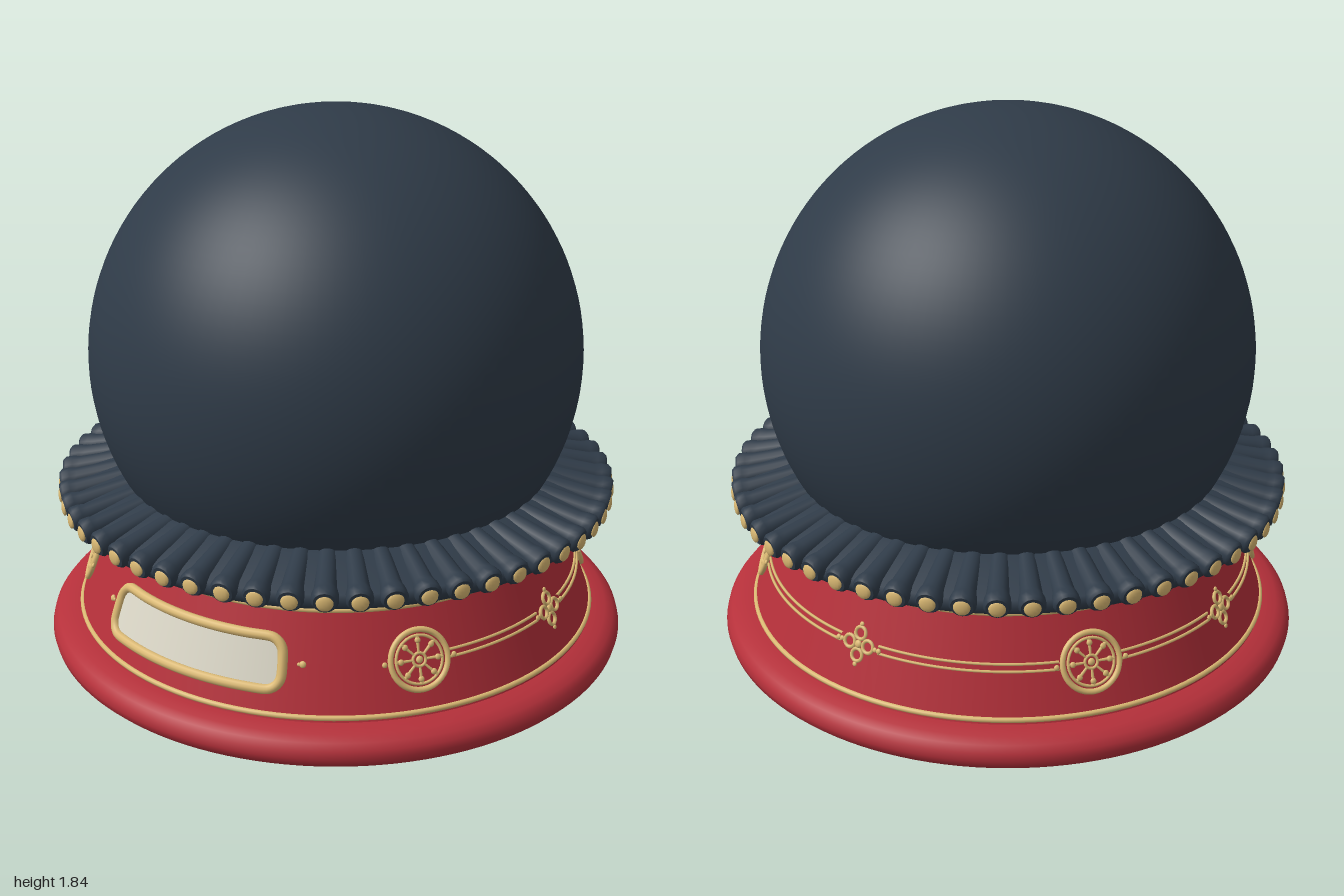
import * as THREE from 'three';

const mat = (name, color) => {
  const m = new THREE.MeshStandardMaterial({ color });
  m.name = name;
  return m;
};
const SLOPE = 0.365;                                   // lean of the base wall
const TILT = -Math.atan(SLOPE);
const MID_Y = 0.278;                                   // height of the ornament band
const wallR = (y) => 0.895 - (y - 0.12) * SLOPE;       // wall radius at a height
const rad = THREE.MathUtils.degToRad;

// point on the base wall: u along the arc, y up, d out from the wall
function onWall(u, y, d = 0) {
  const a = u / wallR(MID_Y), r = wallR(y) + d;
  return new THREE.Vector3(Math.sin(a) * r, y, Math.cos(a) * r);
}

export function createModel() {
  const dark = mat('midnight blue', 0x2f3b48);
  const red = mat('crimson', 0xb5303a);
  const gold = mat('gold', 0xdcba74);
  const cream = mat('cream', 0xdcd8c8);

  const model = new THREE.Group();
  model.name = 'snowGlobe';
  const add = (parent, name, geo, material, x = 0, y = 0, z = 0) => {
    const m = new THREE.Mesh(geo, material);
    m.name = name;
    m.position.set(x, y, z);
    parent.add(m);
    return m;
  };
  const group = (name, parent = model) => {
    const g = new THREE.Group();
    g.name = name;
    parent.add(g);
    return g;
  };
  const lathe = (pts, seg) => new THREE.LatheGeometry(pts.map((p) => new THREE.Vector2(...p)), seg);

  // glass ball
  add(model, 'globe', new THREE.SphereGeometry(0.83, 96, 64), dark, 0, 1.007, 0);

  // base: rounded foot, leaning wall, flared neck
  add(model, 'foot', lathe([[0, 0], [0.94, 0], [0.95, 0], [0.978, 0.006], [0.994, 0.022], [1, 0.045],
    [0.994, 0.068], [0.978, 0.088], [0.95, 0.102], [0.91, 0.11], [0.88, 0.112]], 128), red);
  add(model, 'wall', lathe([[wallR(0.105), 0.105], [wallR(0.28), 0.28], [wallR(0.437), 0.437]], 128), red);
  add(model, 'neck', lathe([[0.778, 0.437], [0.778, 0.452], [0.79, 0.468], [0.82, 0.482], [0.86, 0.492]], 128), red);

  // gold trim rings
  for (const y of [0.124, 0.437]) {
    const ring = add(model, 'trimRing', new THREE.TorusGeometry(wallR(y), 0.009, 8, 128), gold, 0, y, 0);
    ring.rotation.x = Math.PI / 2;
  }

  // pleated collar with a gold stud on each pleat
  const collar = group('collar');
  add(collar, 'collarBody', lathe([[0.72, 0.49], [0.85, 0.492], [0.915, 0.515], [0.925, 0.54],
    [0.915, 0.562], [0.75, 0.615], [0.70, 0.625]], 112), dark);
  const pleatGeo = lathe([[0.033, 0], [0.036, 0.17], [0.042, 0.195], [0.043, 0.22],
    [0.036, 0.229], [0.0355, 0.23], [0, 0.23]], 14);
  const studGeo = new THREE.SphereGeometry(0.027, 14, 8);
  const PLEATS = 56;
  for (let i = 0; i < PLEATS; i++) {
    const unit = group('pleatUnit', collar);
    unit.rotation.y = (i / PLEATS) * Math.PI * 2;
    const pleat = add(unit, 'pleat', pleatGeo, dark, 0, 0.598, 0.72);
    pleat.rotation.x = Math.PI / 2 + 0.21;
    const stud = add(unit, 'stud', studGeo, gold, 0, 0.55, 0.946);
    stud.scale.z = 0.35;
  }

  // name plate wrapped on the front wall
  const plate = group('plate');
  const W = 0.335, H = 0.078, C = 0.05;                // half sizes and corner radius
  const outline = [];
  for (let q = 0; q < 4; q++) {
    const sx = q === 0 || q === 3 ? 1 : -1, sy = q < 2 ? 1 : -1;
    for (let k = 0; k <= 6; k++) {
      const a = (q + k / 6) * Math.PI / 2;
      outline.push([sx * (W - C) + C * Math.cos(a), sy * (H - C) + C * Math.sin(a)]);
    }
    if (q % 2 === 0) {                                 // keep the long edges on the curve
      for (let k = 1; k < 8; k++) outline.push([sx * (W - C) * (1 - k / 4), sy * H]);
    }
  }
  const frameCurve = new THREE.CatmullRomCurve3(
    outline.map(([u, v]) => onWall(u, MID_Y + v, 0.01)), true, 'centripetal');
  add(plate, 'plateFrame', new THREE.TubeGeometry(frameCurve, 160, 0.016, 10, true), gold);
  const face = new THREE.PlaneGeometry(2, 2, 28, 20);
  const pos = face.attributes.position;
  for (let i = 0; i < pos.count; i++) {
    const v = pos.getY(i) * H;
    const over = Math.max(0, Math.abs(v) - (H - C));
    const half = W - C + Math.sqrt(Math.max(0, C * C - over * over));
    const p = onWall(pos.getX(i) * half, MID_Y + v, 0.009);
    pos.setXYZ(i, p.x, p.y, p.z);
  }
  face.computeVertexNormals();
  add(plate, 'plateFace', face, cream);

  // ornament holder lying flat on the wall at a given angle
  const mount = (name, deg, out = 0.006) => {
    const g = group(name), a = rad(deg), r = wallR(MID_Y) + out;
    g.position.set(Math.sin(a) * r, MID_Y, Math.cos(a) * r);
    g.rotation.set(TILT, a, 0, 'YXZ');
    return g;
  };
  const bead = (g, r, x, y, flat = 0.6) => {
    const b = add(g, 'bead', new THREE.SphereGeometry(r, 10, 8), gold, x, y, 0.002);
    b.scale.z = flat;
  };

  // small beads either side of the plate
  for (const s of [-1, 1]) {
    const g = mount('plateBead', s * 27.2, 0.002);
    bead(g, 0.011, 0, 0);
    bead(g, 0.006, s * -0.012, 0);
  }

  // four wheel medallions
  for (const deg of [52, 128, 232, 308]) {
    const g = mount('medallion', deg);
    add(g, 'rim', new THREE.TorusGeometry(0.094, 0.0095, 8, 48), gold);
    add(g, 'innerRim', new THREE.TorusGeometry(0.076, 0.005, 6, 40), gold);
    add(g, 'hubRing', new THREE.TorusGeometry(0.021, 0.005, 6, 20), gold);
    bead(g, 0.012, 0, 0);
    for (let i = 0; i < 8; i++) {
      const a = (i / 8) * Math.PI * 2;
      const spoke = add(g, 'spoke', new THREE.CylinderGeometry(0.006, 0.004, 0.054, 6), gold,
        -Math.sin(a) * 0.049, Math.cos(a) * 0.049, 0);
      spoke.rotation.z = a;
      bead(g, 0.01, -Math.sin(a) * 0.061, Math.cos(a) * 0.061);
    }
    bead(g, 0.009, -0.114, 0);
    bead(g, 0.009, 0.114, 0);
  }

  // four-loop ornaments on the sides and back
  for (const deg of [90, 180, 270]) {
    const g = mount('quatrefoil', deg);
    bead(g, 0.013, 0, 0);
    for (let i = 0; i < 4; i++) {
      const c = Math.round(Math.cos(i * Math.PI / 2)), s = Math.round(Math.sin(i * Math.PI / 2));
      add(g, 'loop', new THREE.TorusGeometry(0.02, 0.006, 6, 20), gold, c * 0.036, s * 0.036, 0);
      bead(g, 0.008, c * 0.066, s * 0.066);
    }
    bead(g, 0.009, -0.08, 0);
    bead(g, 0.009, 0.08, 0);
  }

  // double cords linking the ornaments
  for (const [from, to] of [[52, 90], [128, 90], [128, 180], [232, 180], [232, 270], [308, 270]]) {
    const s = Math.sign(to - from);
    const a0 = rad(from + s * 7), a1 = rad(to - s * 5);
    for (const dy of [-0.011, 0.011]) {
      const y = MID_Y + dy, r = wallR(y) + 0.003, pts = [];
      for (let k = 0; k <= 16; k++) {
        const a = a0 + (a1 - a0) * k / 16;
        pts.push(new THREE.Vector3(Math.sin(a) * r, y, Math.cos(a) * r));
      }
      add(model, 'cord', new THREE.TubeGeometry(new THREE.CatmullRomCurve3(pts), 32, 0.005, 6), gold);
    }
  }
  return model;
}
